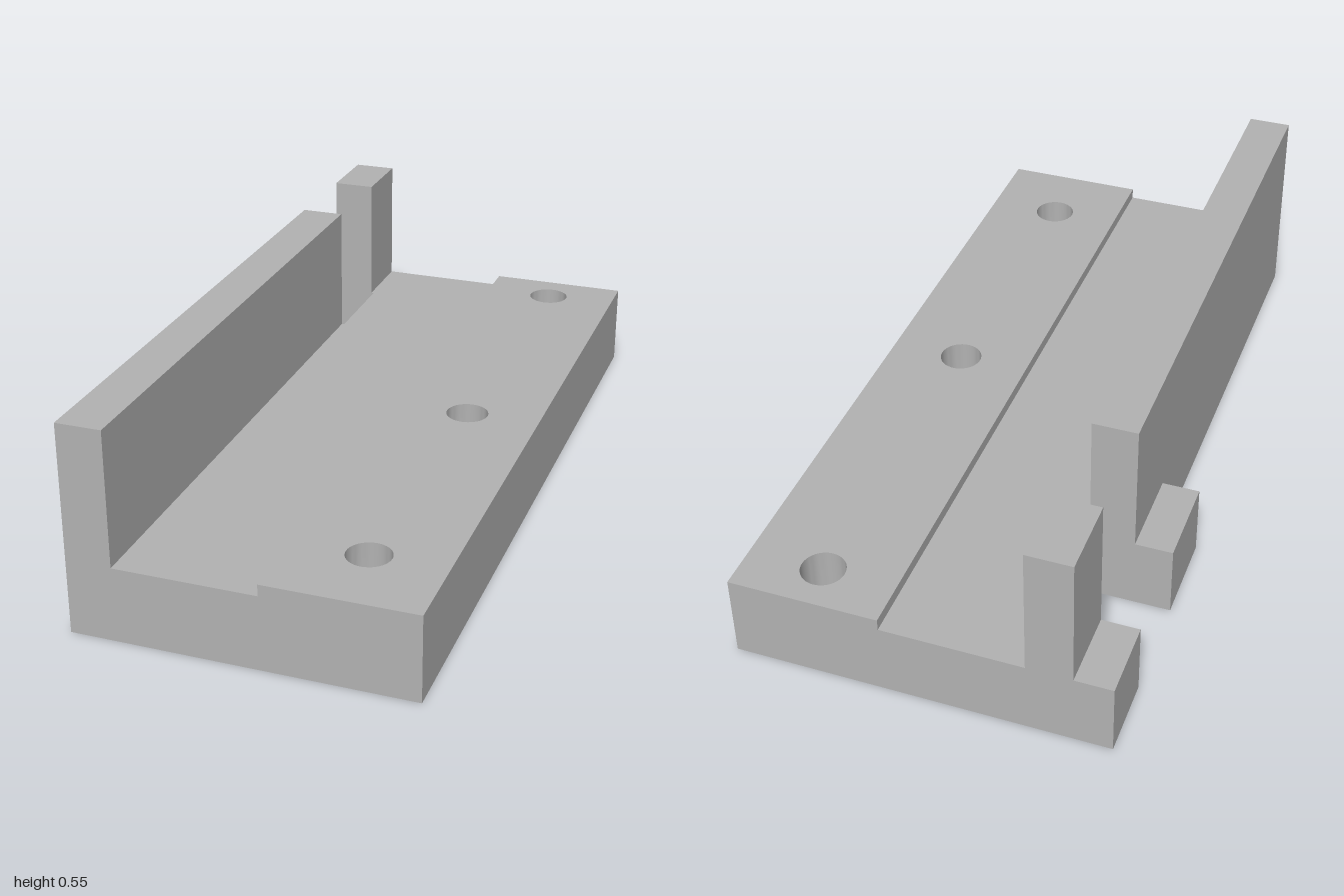
import * as THREE from 'three';
import { toCreasedNormals } from 'three/addons/utils/BufferGeometryUtils.js';

const HOLES = [-0.885, 0.005, 0.795].map(z => [0.285, z]);
const FLOOR = 0.195, RIDGE = 0.225, FENCE = 0.545, BORE_DEPTH = 0.09;
const BORE_R = 0.103, HOLE_R = 0.056;
const FX0 = -0.383, FX1 = -0.267, RX = 0.095, X = 0.48; // fence, ridge and edge in x

// Plan outlines are [x, z] lists, counter-clockwise seen from above
const rect = (x0, x1, z0, z1) => [[x0, z1], [x1, z1], [x1, z0], [x0, z0]];
const circle = ([cx, cz], r, n = 40) => Array.from({ length: n }, (_, i) => {
  const a = (i / n) * Math.PI * 2;
  return [cx + r * Math.cos(a), cz + r * Math.sin(a)]; // clockwise: faces inward
});

export function createModel() {
  const model = new THREE.Group();
  const grey = new THREE.MeshStandardMaterial({ color: 0xb2b2b2 });
  grey.name = 'grey';

  const add = (parent, name, geometry) => {
    const mesh = new THREE.Mesh(geometry, grey);
    mesh.name = name;
    parent.add(mesh);
  };
  const part = name => {
    const g = new THREE.Group();
    g.name = name;
    model.add(g);
    return g;
  };

  // Horizontal face at height y, facing up or down
  const cap = (outline, y, holes = [], down = false) => {
    const toV = ([x, z]) => new THREE.Vector2(x, -z);
    const shape = new THREE.Shape(outline.map(toV));
    shape.holes = holes.map(h => new THREE.Path(h.map(toV)));
    const g = new THREE.ShapeGeometry(shape).rotateX(-Math.PI / 2).translate(0, y, 0);
    if (down) {
      g.index.array.reverse();
      g.computeVertexNormals();
    }
    return g;
  };

  // Vertical skin along a closed outline
  const skin = (outline, y0, y1) => {
    const pos = [];
    outline.forEach(([ax, az], i) => {
      const [bx, bz] = outline[(i + 1) % outline.length];
      pos.push(ax, y0, az, bx, y0, bz, bx, y1, bz, ax, y0, az, bx, y1, bz, ax, y1, az);
    });
    const g = new THREE.BufferGeometry();
    g.setAttribute('position', new THREE.Float32BufferAttribute(pos, 3));
    return toCreasedNormals(g, 0.5);
  };

  // Base plate with two side tabs and the notch between them
  const plan = [
    [FX0, 1], [X, 1], [X, -1], [-X, -1], [-X, -0.8], [-0.26, -0.8],
    [-0.26, -0.53], [-X, -0.53], [-X, -0.29], [FX0, -0.29],
  ];
  const base = part('basePlate');
  add(base, 'baseSides', skin(plan, 0, FLOOR));
  add(base, 'baseUnderside', cap(plan, 0, HOLES.map(h => circle(h, BORE_R)), true));
  add(base, 'channelFloor', cap([
    [FX1, 1], [RX, 1], [RX, -1], [FX1, -1], [FX1, -0.8], [-0.26, -0.8],
    [-0.26, -0.53], [FX1, -0.53],
  ], FLOOR));
  for (const [z0, z1] of [[-1, -0.8], [-0.53, -0.29]])
    add(base, 'tabTop', cap(rect(-X, FX0, z0, z1), FLOOR));

  // Raised mounting strip
  const strip = rect(RX, X, -1, 1);
  const ridge = part('mountingStrip');
  add(ridge, 'stripSides', skin(strip, FLOOR, RIDGE));
  add(ridge, 'stripTop', cap(strip, RIDGE, HOLES.map(h => circle(h, HOLE_R))));

  // Screw holes, counterbored from below
  for (const h of HOLES) {
    const hole = part('screwHole');
    const bore = circle(h, BORE_R), bolt = circle(h, HOLE_R);
    add(hole, 'counterbore', skin(bore, 0, BORE_DEPTH));
    add(hole, 'boreLedge', cap(bore.slice().reverse(), BORE_DEPTH, [bolt], true));
    add(hole, 'boltHole', skin(bolt, BORE_DEPTH, RIDGE));
  }

  // Upright fence: long wall and the short post behind the notch
  for (const [name, z0, z1] of [['longFence', -0.53, 1], ['backPost', -1, -0.8]]) {
    const outline = rect(FX0, FX1, z0, z1);
    const fence = part(name);
    add(fence, name + 'Sides', skin(outline, FLOOR, FENCE));
    add(fence, name + 'Top', cap(outline, FENCE));
  }
  return model;
}
